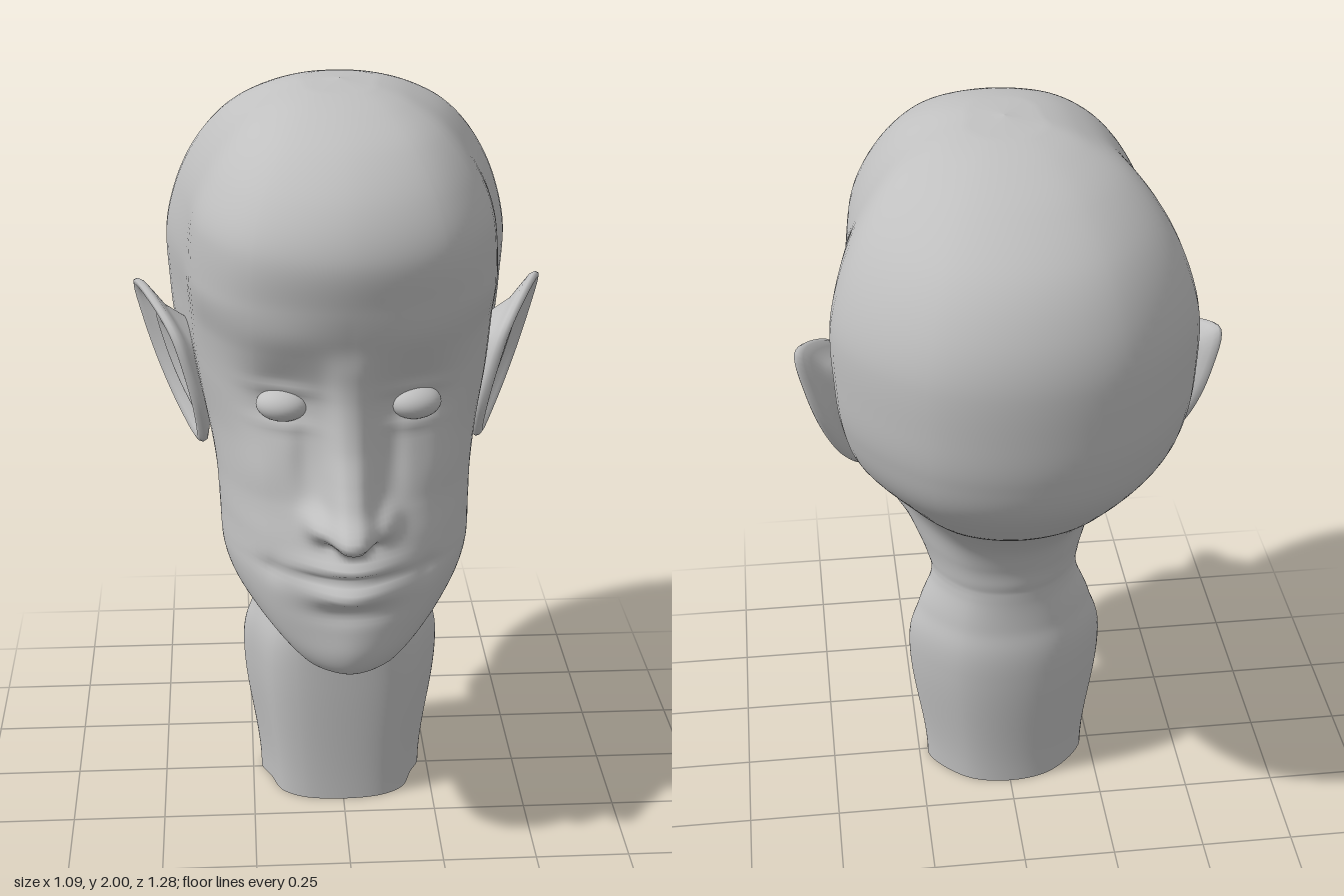
import * as THREE from 'three';

// Horizontal sections: y, front z, cheek x, cheek z, widest x, widest z, back z
const SECTIONS = [
  [0.00, 0.185, 0.170, 0.13, 0.225, -0.02, -0.17],
  [0.40, 0.200, 0.195, 0.14, 0.270, -0.02, -0.20],
  [0.55, 0.205, 0.170, 0.14, 0.240, -0.02, -0.185],
  [0.64, 0.205, 0.150, 0.15, 0.205, -0.02, -0.18],
  [0.67, 0.460, 0.140, 0.28, 0.200, -0.02, -0.18],
  [0.70, 0.535, 0.205, 0.26, 0.205, -0.02, -0.185],
  [0.76, 0.545, 0.280, 0.25, 0.215, -0.03, -0.195],
  [0.85, 0.550, 0.318, 0.24, 0.235, -0.04, -0.235],
  [0.95, 0.535, 0.324, 0.22, 0.270, -0.10, -0.33],
  [1.05, 0.490, 0.326, 0.22, 0.320, -0.18, -0.46],
  [1.18, 0.465, 0.340, 0.20, 0.400, -0.26, -0.575],
  [1.30, 0.458, 0.355, 0.20, 0.435, -0.29, -0.618],
  [1.42, 0.483, 0.362, 0.22, 0.447, -0.30, -0.632],
  [1.55, 0.518, 0.365, 0.28, 0.450, -0.30, -0.634],
  [1.68, 0.535, 0.360, 0.28, 0.420, -0.29, -0.605],
  [1.80, 0.485, 0.320, 0.25, 0.365, -0.25, -0.53],
  [1.90, 0.380, 0.250, 0.20, 0.285, -0.19, -0.40],
  [1.96, 0.250, 0.170, 0.13, 0.190, -0.14, -0.27],
  [1.99, 0.120, 0.085, 0.06, 0.100, -0.08, -0.15],
  [2.00, -0.02, 0, -0.02, 0, -0.02, -0.02],
];

// Soft bumps and hollows on the face: x (mirrored), y, size x, size y, height
const BUMPS = [
  [0.085, 1.00, 0.032, 0.035, 0.050],   // nostril wings
  [0.045, 0.955, 0.022, 0.014, -0.025], // nostrils
  [0.00, 0.895, 0.11, 0.028, 0.042],    // upper lip
  [0.00, 0.825, 0.10, 0.030, 0.042],    // lower lip
  [0.00, 0.866, 0.17, 0.012, -0.018],   // mouth line
  [0.00, 0.765, 0.10, 0.025, -0.012],   // fold over chin
  [0.00, 0.660, 0.10, 0.050, 0.01],     // chin
  [0.165, 1.30, 0.085, 0.085, -0.026],  // eye sockets
  [0.165, 1.325, 0.075, 0.016, 0.010],  // upper lids
  [0.165, 1.232, 0.07, 0.016, 0.008],   // lower lids
  [0.18, 1.47, 0.13, 0.060, 0.010],     // brows
  [0.11, 1.16, 0.03, 0.10, -0.012],     // folds beside nose
  [0.23, 1.10, 0.07, 0.08, 0.012],      // cheeks
  [0.20, 0.865, 0.03, 0.03, -0.010],    // mouth corners
];

// Nose ridge: y, height, half width
const NOSE = [
  [0.92, 0.00, 0.055], [0.945, 0.045, 0.052], [0.97, 0.108, 0.056], [1.00, 0.130, 0.060],
  [1.05, 0.093, 0.060], [1.10, 0.072, 0.058], [1.18, 0.044, 0.054], [1.28, 0.028, 0.052],
  [1.38, 0.012, 0.055], [1.46, 0.00, 0.060],
];

// Smooth curve between neighbouring rows of a table, limited against overshoot
function rowAt(table, i, t) {
  const n = table.length - 1;
  const slope = (k, c) => {
    if (k <= 0 || k >= n) return 0;
    const a = table[k][c] - table[k - 1][c], b = table[k + 1][c] - table[k][c];
    const limit = 3 * Math.min(Math.abs(a), Math.abs(b));
    return THREE.MathUtils.clamp((a + b) / 2, -limit, limit);
  };
  const t2 = t * t, t3 = t2 * t;
  return table[i].map((p, c) => c === 0 && (i === 0 || i === n - 1)
    ? p + (table[i + 1][c] - p) * t
    : p * (2 * t3 - 3 * t2 + 1) + table[i + 1][c] * (3 * t2 - 2 * t3)
      + slope(i, c) * (t3 - 2 * t2 + t) + slope(i + 1, c) * (t3 - t2));
}

// Skin over closed rings of points
function loft(rings, flip = false) {
  const n = rings[0].length, index = [];
  for (let i = 0; i < rings.length - 1; i++) {
    for (let j = 0; j < n; j++) {
      const a = i * n + j, b = i * n + (j + 1) % n, c = a + n, d = b + n;
      if (flip) index.push(a, c, b, b, c, d);
      else index.push(a, b, c, b, d, c);
    }
  }
  const geometry = new THREE.BufferGeometry().setFromPoints(rings.flat());
  geometry.setIndex(index);
  geometry.computeVertexNormals();
  return geometry;
}

function noseHeight(x, y) {
  for (let i = 0; i < NOSE.length - 1; i++) {
    if (y >= NOSE[i][0] && y < NOSE[i + 1][0]) {
      const t = (y - NOSE[i][0]) / (NOSE[i + 1][0] - NOSE[i][0]);
      const [, h, w] = rowAt(NOSE, i, t);
      return h * Math.exp(-(Math.abs(x / w) ** 3));
    }
  }
  return 0;
}

// Lower the chin to a rounded point and raise the facial features
function sculpt(p) {
  const { clamp, smoothstep } = THREE.MathUtils;
  if (p.y > 0.6) {
    const forward = clamp((p.z - 0.2) / 0.28, 0, 1) * clamp((1.02 - p.y) / 0.35, 0, 1);
    p.y -= 0.105 * forward * (1 - 0.4 * Math.min(1, (p.x / 0.25) ** 2));
  }
  const weight = smoothstep(p.z, 0.2, 0.36);
  if (weight > 0 && p.y > 0.565) {
    let dz = noseHeight(p.x, p.y);
    for (const [x, y, sx, sy, h] of BUMPS) {
      dz += h * Math.exp(-(((Math.abs(p.x) - x) / sx) ** 2) - ((p.y - y) / sy) ** 2);
    }
    p.z += dz * weight;
  }
  return p;
}

function headGeometry() {
  const steps = 10, rings = [];
  const counts = [22, 12, 7, 7, 8, 8, 8, 8, 7, 7, 12, 22]; // samples per curve span
  for (let i = 0; i < SECTIONS.length - 1; i++) {
    const last = i === SECTIONS.length - 2;
    for (let s = 0; s < steps + (last ? 1 : 0); s++) {
      const [y, zf, bx, bz, cx, cz, zb] = rowAt(SECTIONS, i, s / steps);
      const half = [
        [bx * 0.66, zf + (bz - zf) * 0.28], [bx, bz],
        [bx * 0.52 + cx * 0.49, (bz + cz) / 2],
        [cx, cz], [cx * 0.55, zb + (cz - zb) * 0.2],
      ];
      const outline = [[0, zf], ...half, [0, zb], ...half.map(([x, z]) => [-x, z]).reverse()];
      const curve = new THREE.CatmullRomCurve3(outline.map(([x, z]) => new THREE.Vector3(x, y, z)), true);
      const ring = [];
      counts.forEach((n, k) => {
        for (let j = 0; j < n; j++) ring.push(sculpt(curve.getPoint((k + j / n) / counts.length)));
      });
      rings.push(ring);
    }
  }
  return loft(rings);
}

// Ear outline as z, y and its rings as scale, outward offset
const EAR = [[-0.14, 1.44], [-0.02, 1.41], [0.06, 1.345], [0.075, 1.23], [0.055, 1.11],
  [0, 1.02], [-0.085, 1.09], [-0.14, 1.2], [-0.158, 1.33]];
const EAR_RINGS = [[0.01, -0.035], [0.25, -0.035], [0.4, -0.028], [0.5, -0.015], [0.58, -0.014],
  [0.66, -0.022], [0.78, -0.020], [0.86, 0], [0.93, 0.010], [0.98, 0.006], [1, -0.004],
  [0.97, -0.016], [0.88, -0.026], [0.7, -0.045], [0.5, -0.1]];

function earGeometry(side) {
  const curve = new THREE.CatmullRomCurve3(EAR.map(([z, y]) => new THREE.Vector3(0, y, z)), true);
  const outline = curve.getPoints(56).slice(0, -1);
  const rings = EAR_RINGS.map(([s, h]) => outline.map((p) => {
    const y = 1.23 + (p.y - 1.23) * s, z = -0.035 + (p.z + 0.035) * s;
    const x = 0.348 + 0.4 * (0.07 - z) + 0.265 * (y - 1.03) + h;
    return new THREE.Vector3(side * x, y, z);
  }));
  return loft(rings, side > 0);
}

export function createModel() {
  const model = new THREE.Group();
  model.name = 'headBust';
  const clay = new THREE.MeshStandardMaterial({ color: 0xc0c0c0, side: THREE.DoubleSide });
  clay.name = 'greyClay';
  const add = (name, geometry) => {
    const mesh = new THREE.Mesh(geometry, clay);
    mesh.name = name;
    model.add(mesh);
    return mesh;
  };

  add('headAndNeck', headGeometry());
  for (const [side, label] of [[1, 'left'], [-1, 'right']]) {
    add(label + 'Ear', earGeometry(side));
    const eye = add(label + 'Eye', new THREE.SphereGeometry(1, 32, 20));
    eye.scale.set(0.066, 0.042, 0.052);
    eye.position.set(side * 0.165, 1.28, 0.395);
    eye.rotation.y = side * 0.25;
  }
  return model;
}
